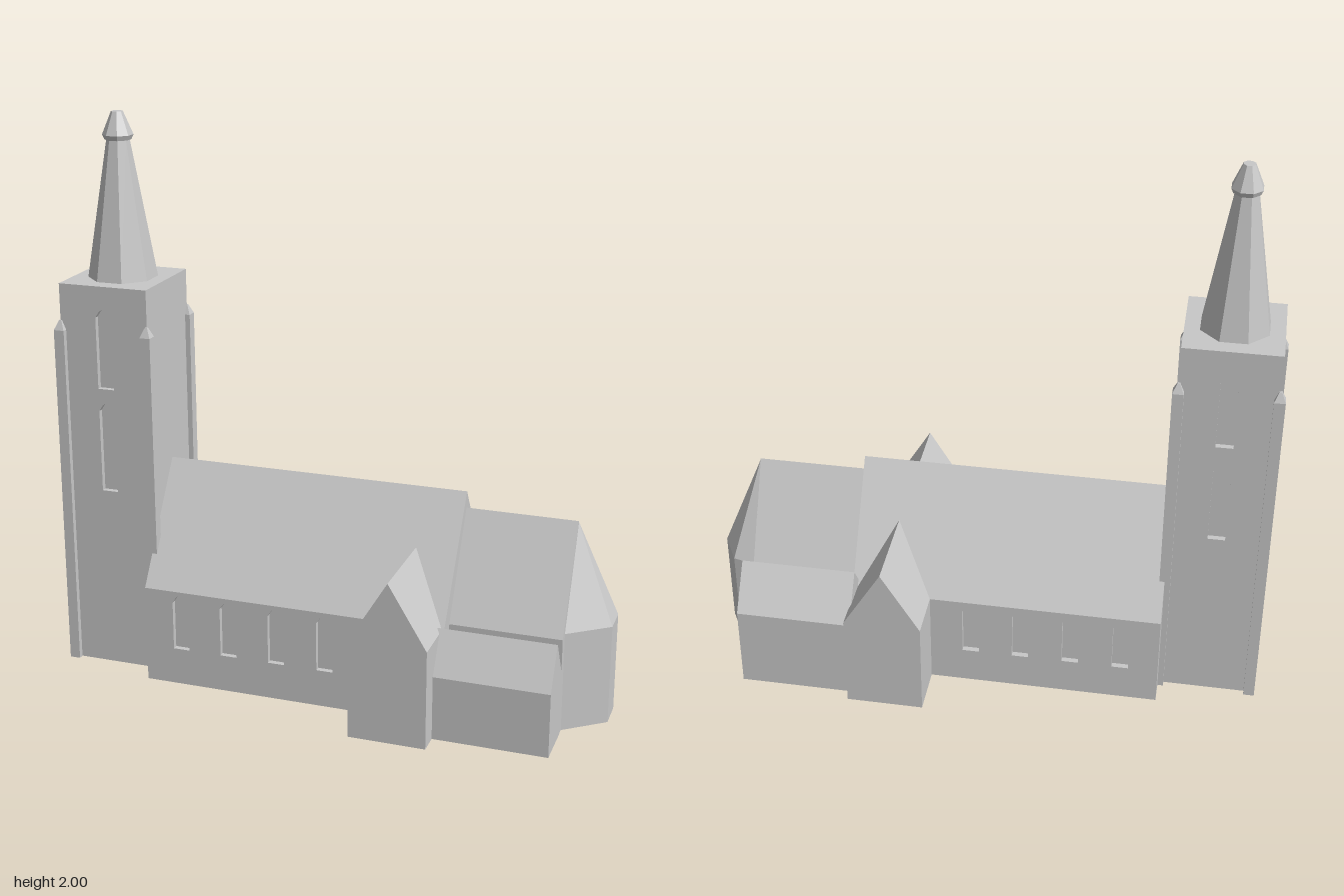
import * as THREE from 'three';

const stone = new THREE.MeshStandardMaterial({ color: 0xc8c8c8 });
stone.name = 'paleStone';

const TOWER = { x: -0.81, z: 0.002, hx: 0.165, hz: 0.171, h: 1.42 };
const RECESS = 0.02;

function add(parent, name, geometry, x = 0, y = 0, z = 0) {
  const mesh = new THREE.Mesh(geometry, stone);
  mesh.name = name;
  mesh.position.set(x, y, z);
  parent.add(mesh);
  return mesh;
}

const outline = (points) => new THREE.Shape(points.map(([a, b]) => new THREE.Vector2(a, b)));

// Prism along z from a profile of [x, y]
function prismZ(points, z0, z1) {
  const g = new THREE.ExtrudeGeometry(outline(points), { depth: z1 - z0, bevelEnabled: false });
  return g.translate(0, 0, z0);
}

// Prism along x from a profile of [z, y]
function prismX(points, x0, x1) {
  const g = prismZ(points.map(([z, y]) => [-z, y]), x0, x1);
  return g.rotateY(Math.PI / 2);
}

// Five-sided house profile
const gable = (a0, a1, eave, ridge, mid = (a0 + a1) / 2) =>
  [[a0, 0], [a1, 0], [a1, eave], [mid, ridge], [a0, eave]];

// Wall slab with pointed openings; its inner face lies on z = 0
function wallPanel(x0, x1, height, openings) {
  const shape = outline([[x0, 0], [x1, 0], [x1, height], [x0, height]]);
  for (const [x, bottom, top] of openings) {
    const w = 0.03, s = top - 0.032;
    shape.holes.push(outline([
      [x - w, bottom], [x - w, s], [x - 0.015, top - 0.009], [x, top],
      [x + 0.015, top - 0.009], [x + w, s], [x + w, bottom]]));
  }
  return new THREE.ExtrudeGeometry(shape, { depth: RECESS, bevelEnabled: false });
}

function makeTower() {
  const tower = new THREE.Group();
  tower.name = 'tower';
  const { x, z, hx, hz, h } = TOWER;
  const lights = [[0, 1.05, 1.34], [0, 0.67, 1.0]];

  // Core, with the outer skin on three sides holding recessed windows
  add(tower, 'towerCore', new THREE.BoxGeometry(2 * hx - RECESS, h, 2 * (hz - RECESS)),
    x + RECESS / 2, h / 2, z);
  add(tower, 'towerFrontWall', wallPanel(-hx, hx, h, lights), x, 0, z + hz - RECESS);
  add(tower, 'towerBackWall', wallPanel(-hx, hx, h, lights), x, 0, z - hz + RECESS).rotation.y = Math.PI;
  add(tower, 'towerDoorWall', wallPanel(-hz + RECESS, hz - RECESS, h, [...lights, [0, 0.004, 0.19]]),
    x - hx + RECESS, 0, z).rotation.y = -Math.PI / 2;

  // Corner buttresses with pointed caps
  for (const sx of [-1, 1]) for (const sz of [-1, 1]) {
    const bx = x + sx * 0.164, bz = z + sz * 0.172;
    add(tower, 'buttress', new THREE.BoxGeometry(0.038, 1.255, 0.038), bx, 0.6275, bz);
    const cap = new THREE.CylinderGeometry(0.006, 0.019 * Math.SQRT2, 0.034, 4, 1);
    add(tower, 'buttressCap', cap.rotateY(Math.PI / 4).toNonIndexed(), bx, 1.272, bz)
      .geometry.computeVertexNormals();
  }

  // Octagonal spire, collar and cap: [bottom y, top y, bottom half-width, top half-width]
  const tiers = {
    spire: [h, 1.905, 0.113, 0.037],
    spireCollar: [1.903, 1.92, 0.043, 0.05],
    spireCap: [1.92, 2.0, 0.05, 0.019],
  };
  for (const [name, [y0, y1, a, b]] of Object.entries(tiers)) {
    const k = 1 / Math.cos(Math.PI / 8);
    const g = new THREE.CylinderGeometry(b * k, a * k, y1 - y0, 8, 1)
      .rotateY(Math.PI / 8).toNonIndexed();
    g.computeVertexNormals();
    add(tower, name, g, x, (y0 + y1) / 2, z);
  }
  return tower;
}

function makeNave() {
  const nave = new THREE.Group();
  nave.name = 'nave';
  const x0 = -0.645, x1 = 0.457, zc = -0.004, hz = 0.266, eave = 0.355, lip = 0.35;
  const inner = hz - RECESS;

  // Core and roof, with a lip that covers the wall skins
  add(nave, 'naveBody', prismX([
    [-inner, 0], [inner, 0], [inner, lip], [hz, lip], [hz, eave], [0, 0.76],
    [-hz, eave], [-hz, lip], [-inner, lip]], x0, x1), 0, 0, zc);

  // Side walls with four windows each
  const xs = [-0.51, -0.33, -0.15, 0.03];
  add(nave, 'naveFrontWall', wallPanel(x0, x1, lip, xs.map((x) => [x, 0.135, 0.345])), 0, 0, zc + inner);
  add(nave, 'naveBackWall', wallPanel(-x1, -x0, lip, xs.map((x) => [-x, 0.135, 0.345])), 0, 0, zc - inner)
    .rotation.y = Math.PI;
  return nave;
}

// Polygonal apse: walls, roof fan and floor
function makeApse() {
  const plan = [[0.847, 0.165], [0.988, 0.056], [0.988, -0.052], [0.928, -0.162], [0.847, -0.182]];
  const eave = 0.358, apex = [0.847, 0.7, -0.002], foot = [0.847, 0, 0];
  const v = [];
  for (let i = 0; i < plan.length - 1; i++) {
    const [ax, az] = plan[i], [bx, bz] = plan[i + 1];
    const a0 = [ax, 0, az], b0 = [bx, 0, bz], a1 = [ax, eave, az], b1 = [bx, eave, bz];
    v.push(...a0, ...b0, ...b1, ...a0, ...b1, ...a1, ...a1, ...b1, ...apex, ...b0, ...a0, ...foot);
  }
  const g = new THREE.BufferGeometry();
  g.setAttribute('position', new THREE.Float32BufferAttribute(v, 3));
  g.computeVertexNormals();
  return g;
}

export function createModel() {
  const church = new THREE.Group();
  church.name = 'church';
  church.add(makeTower(), makeNave());

  // Cross arms
  add(church, 'transept', prismZ(gable(0.176, 0.449, 0.355, 0.58, 0.312), -0.448, 0.443));

  // East end: choir, two unequal side chapels and the apse
  add(church, 'choir', prismX(gable(-0.187, 0.197, 0.35, 0.702, 0), 0.44, 0.848));
  add(church, 'frontChapel', prismX(gable(0.15, 0.366, 0.23, 0.372, 0.283)
    .map(([z, y]) => (z === 0.15 ? [0.197, y] : [z, y])), 0.44, 0.849));
  add(church, 'backChapel', prismX(gable(-0.407, -0.185, 0.308, 0.462), 0.44, 0.849));
  add(church, 'apse', makeApse());
  return church;
}
